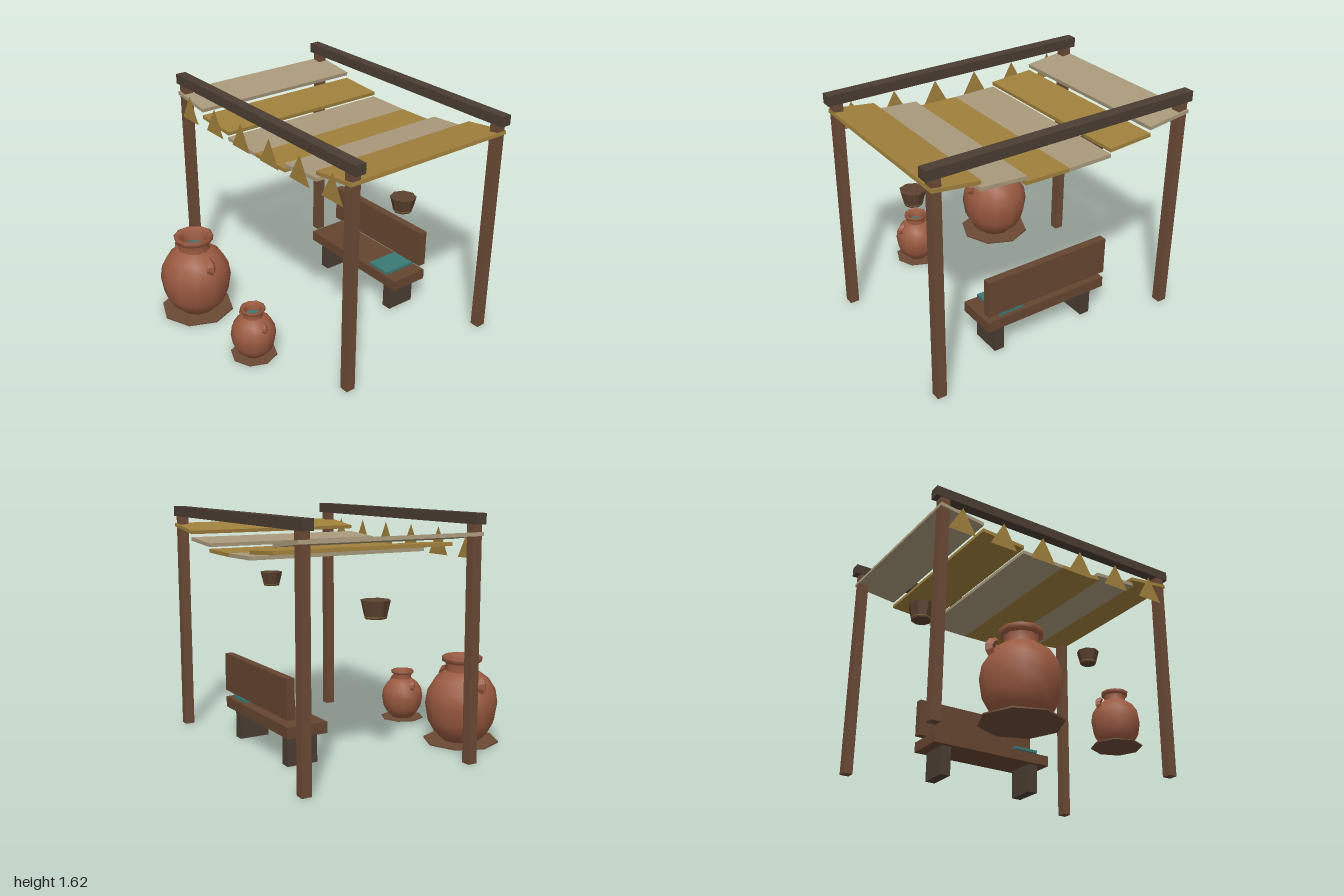
import * as THREE from 'three';

const mat = (color, extra = {}) => new THREE.MeshStandardMaterial({ color, ...extra });
const timber = mat(0x6b4a35), darkTimber = mat(0x4a3d33), benchWood = mat(0x654530);
const clay = mat(0x9a5a40, { side: THREE.DoubleSide }), teal = mat(0x3a7a75);
const ochre = mat(0xa0803c), beige = mat(0xaa9a7c);
const bucketWood = mat(0x5c4230, { flatShading: true });
const pennantCloth = mat(0xa0803c, { side: THREE.DoubleSide });

function add(parent, name, geometry, material, x = 0, y = 0, z = 0) {
  const mesh = new THREE.Mesh(geometry, material);
  mesh.name = name;
  mesh.position.set(x, y, z);
  parent.add(mesh);
  return mesh;
}

// Box given by its min/max on each axis
function block(parent, name, material, [x0, x1], [y0, y1], [z0, z1]) {
  return add(parent, name, new THREE.BoxGeometry(x1 - x0, y1 - y0, z1 - z0), material,
    (x0 + x1) / 2, (y0 + y1) / 2, (z0 + z1) / 2);
}

const lathe = (points, sides) =>
  new THREE.LatheGeometry(points.map(([r, y]) => new THREE.Vector2(r, y)), sides);

// Two-handled clay jar on a round mat
function makeJar(name, scale, x, z) {
  const jar = new THREE.Group();
  jar.name = name;
  add(jar, 'mat', new THREE.CylinderGeometry(0.265, 0.265, 0.01, 8), timber, 0, 0.005, 0);
  add(jar, 'body', lathe([[0, 0.012], [0.13, 0.012], [0.19, 0.07], [0.235, 0.15], [0.255, 0.275],
    [0.24, 0.37], [0.19, 0.45], [0.13, 0.495], [0.1, 0.51]], 12), clay);
  add(jar, 'neck', lathe([[0.115, 0.49], [0.11, 0.53], [0.115, 0.565]], 10), clay);
  add(jar, 'rim', lathe([[0.11, 0.56], [0.138, 0.572], [0.142, 0.605], [0.125, 0.612],
    [0.088, 0.58], [0.088, 0.49]], 10), clay);
  add(jar, 'water', new THREE.CylinderGeometry(0.09, 0.09, 0.01, 10), teal, 0, 0.51, 0);
  for (const side of [-1, 1]) {
    const handle = add(jar, 'handle', new THREE.TorusGeometry(0.045, 0.033, 4, 5, Math.PI),
      mat(0x9a5a40, { flatShading: true, side: THREE.DoubleSide }), side * 0.185, 0.435, 0);
    handle.rotation.z = -side * Math.PI / 2;
  }
  jar.scale.setScalar(scale);
  jar.position.set(x, 0, z);
  return jar;
}

// Hanging tapered bucket with a thin band near the bottom
function makeBucket(name, x, y, z, top, bottom, height) {
  const bucket = new THREE.Group();
  bucket.name = name;
  add(bucket, 'tub', new THREE.CylinderGeometry(top, bottom, height, 8), bucketWood, 0, height / 2, 0);
  add(bucket, 'band', new THREE.CylinderGeometry(bottom + 0.005, bottom + 0.004, 0.004, 8), ochre, 0, 0.013, 0);
  bucket.position.set(x, y, z);
  return bucket;
}

export function createModel() {
  const model = new THREE.Group();
  model.name = 'marketStall';

  // Posts and the two long beams
  for (const z of [0.367, -0.853]) {
    block(model, 'beam', darkTimber, [-1, 1], [1.555, 1.625], [z - 0.038, z + 0.038]);
    for (const x of [-0.93, 0.93])
      block(model, 'post', timber, [x - 0.033, x + 0.033], [0, 1.56], [z - 0.033, z + 0.033]);
  }

  // Sagging awning of six alternating strips
  const heights = [1.347, 1.397, 1.473], tilts = [0.015, 0.065, 0.12];
  for (let i = 0; i < 6; i++) {
    const side = i < 3 ? -1 : 1;
    const step = i < 3 ? 2 - i : i - 3;
    const strip = add(model, 'awningStrip', new THREE.BoxGeometry(0.328, 0.025, 1.31),
      i % 2 ? ochre : beige, -0.805 + i * 0.322, heights[step], -0.243);
    strip.rotation.z = side * tilts[step];
  }

  // Triangular pennants along the front edge
  const triangle = new THREE.Shape([new THREE.Vector2(-0.105, 0), new THREE.Vector2(0.105, 0),
    new THREE.Vector2(0, 0.187)]);
  for (let i = 0; i < 6; i++)
    add(model, 'pennant', new THREE.ShapeGeometry(triangle), pennantCloth, -0.807 + i * 0.322, 1.328, 0.416);

  // Bench with backrest and a folded cloth
  const bench = new THREE.Group();
  bench.name = 'bench';
  block(bench, 'seat', benchWood, [-0.48, 0.48], [0.21, 0.285], [-0.73, -0.44]);
  block(bench, 'backrest', benchWood, [-0.48, 0.48], [0.333, 0.6], [-0.733, -0.677]);
  for (const x of [-0.365, 0.365])
    block(bench, 'benchLeg', darkTimber, [x - 0.037, x + 0.037], [0, 0.212], [-0.692, -0.475]);
  block(bench, 'foldedCloth', teal, [0.195, 0.385], [0.295, 0.315], [-0.715, -0.45]);
  model.add(bench);

  // Jars and hanging buckets
  model.add(makeJar('largeJar', 1, -0.49, 0.635));
  model.add(makeJar('smallJar', 0.61, 0.24, 0.63));
  model.add(makeBucket('rightBucket', -0.735, 0.98, -0.24, 0.096, 0.07, 0.116));
  model.add(makeBucket('leftBucket', 0.727, 1.03, -0.24, 0.086, 0.06, 0.102));
  return model;
}
